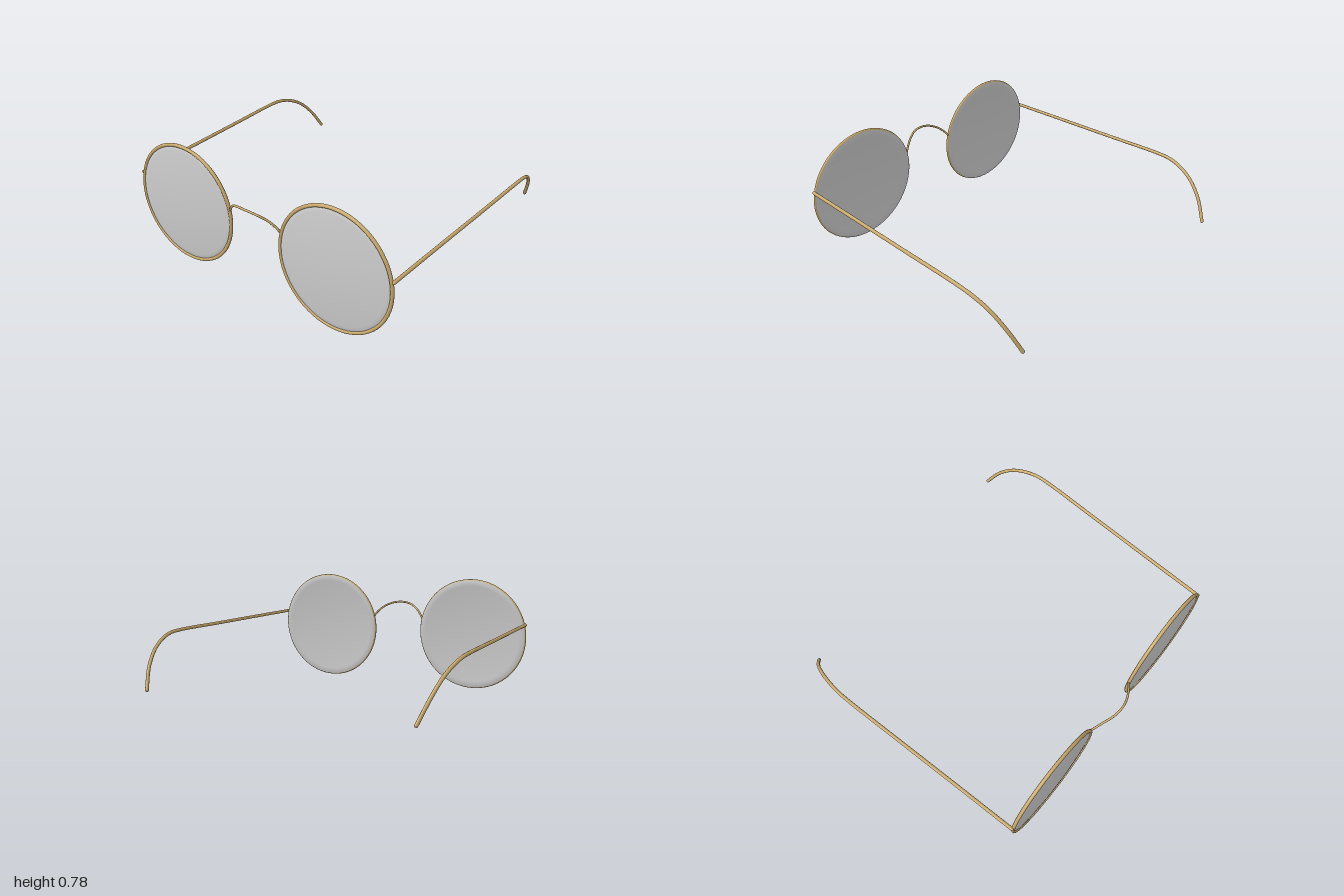
import * as THREE from 'three';

const metal = new THREE.MeshStandardMaterial({ color: 0xc9a86a });
const glass = new THREE.MeshStandardMaterial({ color: 0xcccccc, side: THREE.DoubleSide });

function mesh(name, geometry, material) {
  const m = new THREE.Mesh(geometry, material);
  m.name = name;
  return m;
}

// Smooth wire through points, with rounded ends
function wire(name, points, radius, segments) {
  const group = new THREE.Group();
  group.name = name;
  const pts = points.map((p) => new THREE.Vector3(...p));
  const curve = new THREE.CatmullRomCurve3(pts);
  group.add(mesh(name + 'Wire', new THREE.TubeGeometry(curve, segments, radius, 12), metal));
  for (const end of [pts[0], pts[pts.length - 1]]) {
    const cap = mesh(name + 'End', new THREE.SphereGeometry(radius, 12, 8), metal);
    cap.position.copy(end);
    group.add(cap);
  }
  return group;
}

// Thin domed lens: bulging front, gently hollow back
function lensGeometry(radius) {
  const profile = [];
  const steps = 10;
  for (let i = 0; i <= steps; i++) {
    const t = i / steps;
    profile.push(new THREE.Vector2(radius * t, -0.012 + 0.024 * (1 - t * t)));
  }
  for (let i = steps; i >= 0; i--) {
    const t = i / steps;
    profile.push(new THREE.Vector2(radius * t, 0.002 + 0.024 * (1 - t * t)));
  }
  return new THREE.LatheGeometry(profile, 72).rotateX(Math.PI / 2);
}

export function createModel() {
  const model = new THREE.Group();
  model.name = 'spectacles';

  for (const [side, s] of [['left', 1], ['right', -1]]) {
    // Round rim with its lens, leaning slightly back at the top
    const eye = new THREE.Group();
    eye.name = side + 'Eyepiece';
    eye.add(mesh(side + 'Rim', new THREE.TorusGeometry(0.377, 0.011, 12, 96), metal));
    eye.add(mesh(side + 'Lens', lensGeometry(0.38), glass));
    eye.position.set(s * 0.566, 0.391, 0.824);
    eye.rotation.x = -0.045;
    model.add(eye);

    // Temple: straight arm, then a hook bending down and inward behind the ear
    model.add(wire(side + 'Temple', [
      [0.947, 0.48, 0.818], [0.96, 0.479, 0.4], [0.975, 0.477, -0.05], [0.987, 0.476, -0.43],
      [0.986, 0.469, -0.53], [0.975, 0.445, -0.62], [0.954, 0.392, -0.72],
      [0.923, 0.295, -0.815], [0.88, 0.168, -0.889],
    ].map(([x, y, z]) => [s * x, y, z]), 0.011, 90));
  }

  // Bridge: arched up and forward between the rims
  const half = [[0.19, 0.485, 0.822], [0.168, 0.515, 0.834], [0.125, 0.553, 0.855], [0.065, 0.58, 0.88]];
  const mirrored = half.map(([x, y, z]) => [-x, y, z]);
  model.add(wire('bridge', [...mirrored, [0, 0.588, 0.889], ...half.reverse()], 0.007, 48));

  return model;
}
